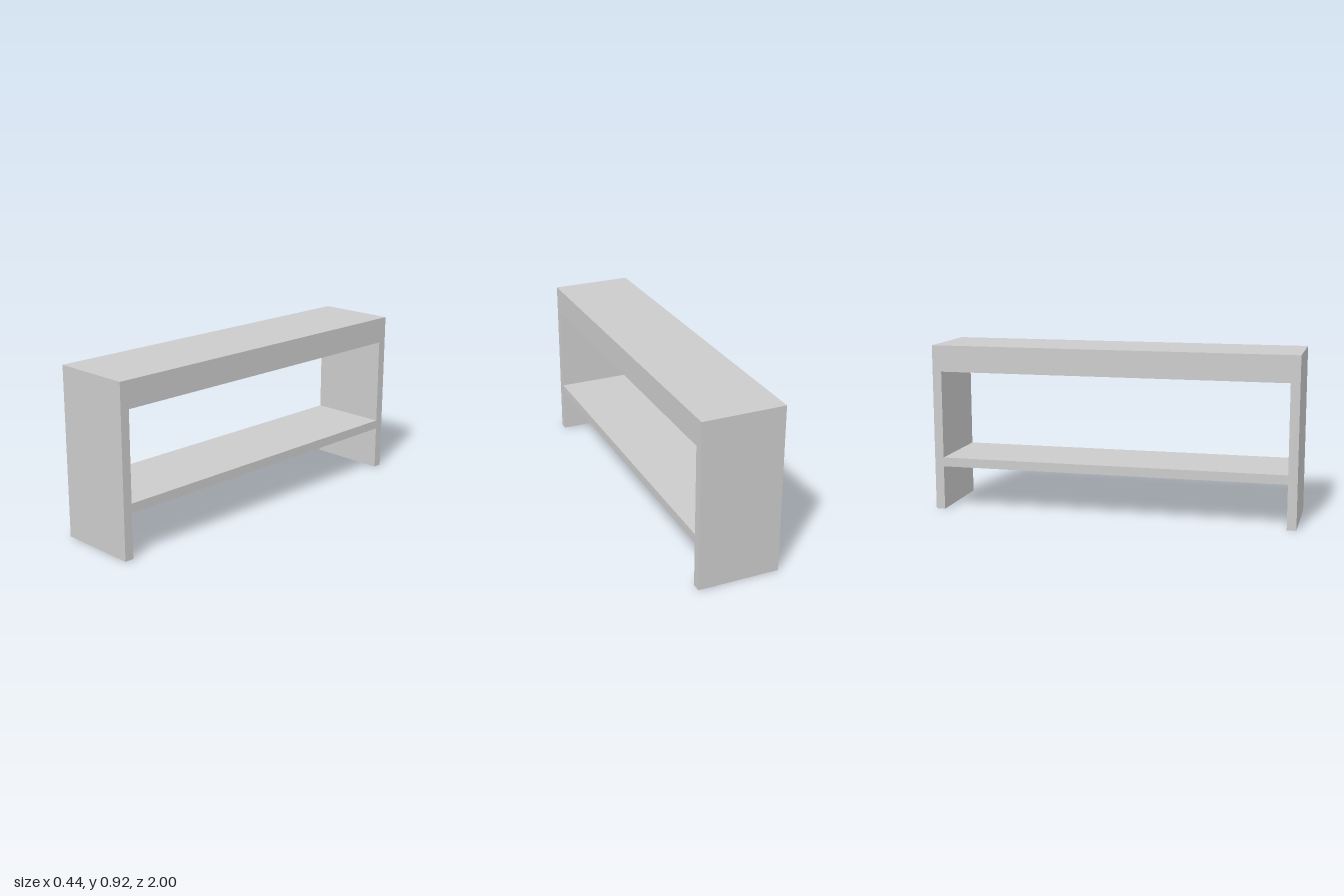
import * as THREE from 'three';

const WIDTH = 0.444;      // along x
const HALF_LENGTH = 1;    // along z
const HEIGHT = 0.917;
const PANEL = 0.05;       // side panel thickness
const TOP_UNDERSIDE = 0.773;
const SHELF_BOTTOM = 0.243;
const SHELF_TOP = 0.293;

export function createModel() {
  const group = new THREE.Group();
  group.name = 'benchWithShelf';
  const material = new THREE.MeshStandardMaterial({ color: 0xcccccc });
  const inner = HALF_LENGTH - PANEL;

  // Thick top and both side panels as one continuous upside-down U
  const profile = new THREE.Shape([
    [-HALF_LENGTH, 0], [-inner, 0], [-inner, TOP_UNDERSIDE], [inner, TOP_UNDERSIDE],
    [inner, 0], [HALF_LENGTH, 0], [HALF_LENGTH, HEIGHT], [-HALF_LENGTH, HEIGHT],
  ].map(([z, y]) => new THREE.Vector2(z, y)));
  const frameGeometry = new THREE.ExtrudeGeometry(profile, { depth: WIDTH, bevelEnabled: false });
  frameGeometry.translate(0, 0, -WIDTH / 2).rotateY(Math.PI / 2);
  const frame = new THREE.Mesh(frameGeometry, material);
  frame.name = 'topAndSidePanels';
  group.add(frame);

  // Lower shelf, flush with the panel edges
  const shelf = new THREE.Mesh(
    new THREE.BoxGeometry(WIDTH, SHELF_TOP - SHELF_BOTTOM, 2 * inner), material);
  shelf.position.y = (SHELF_BOTTOM + SHELF_TOP) / 2;
  shelf.name = 'lowerShelf';
  group.add(shelf);

  return group;
}
